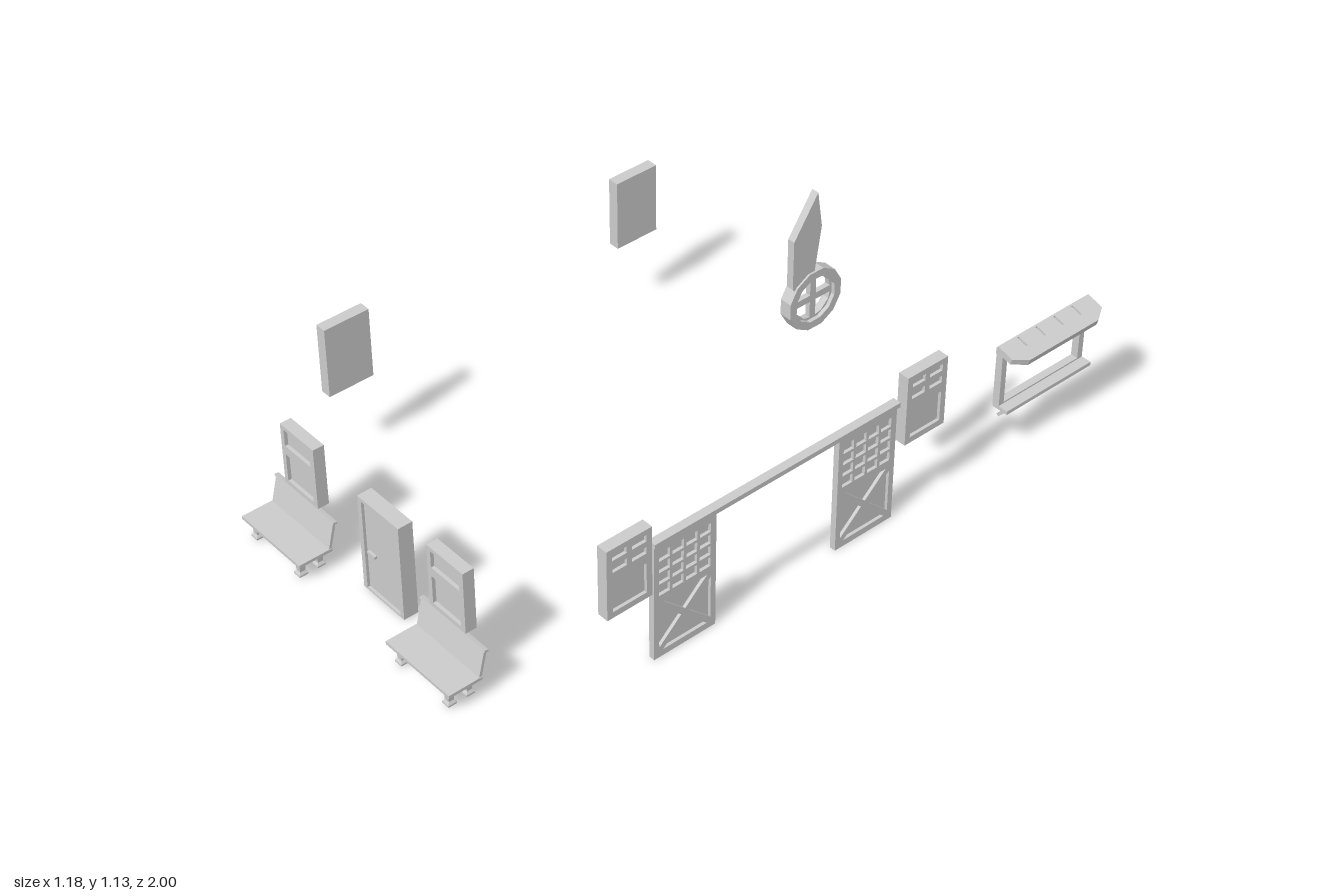
import * as THREE from 'three';

const mat = new THREE.MeshStandardMaterial({ color: 0xcccccc, flatShading: true });

function add(parent, name, geo, x = 0, y = 0, z = 0) {
  const m = new THREE.Mesh(geo, mat);
  m.name = name;
  m.position.set(x, y, z);
  parent.add(m);
  return m;
}
const box = (w, h, d) => new THREE.BoxGeometry(w, h, d);
const poly = pts => pts.map(p => new THREE.Vector2(p[0], p[1]));
const rect = (x0, y0, x1, y1) => poly([[x0, y0], [x1, y0], [x1, y1], [x0, y1]]);

// Flat plate with holes, extruded towards +z
function plate(outline, holes, depth) {
  const s = new THREE.Shape(outline);
  holes.forEach(h => s.holes.push(new THREE.Path(h)));
  return new THREE.ExtrudeGeometry(s, { depth, bevelEnabled: false, curveSegments: 6 });
}

// Slab with sunk panels: local x centred, y from 0, z from 0 to d (front)
function sunkPanel(name, w, h, d, sink, holes) {
  const g = new THREE.Group();
  g.name = name;
  add(g, 'backing', box(w, h, d - sink), 0, h / 2, (d - sink) / 2);
  add(g, 'frame', plate(rect(-w / 2, 0, w / 2, h), holes, sink), 0, 0, d - sink);
  return g;
}

function place(root, g, x, y, z, turn = 0) {
  g.position.set(x, y, z);
  g.rotation.y = turn;
  root.add(g);
}

function frontDoor() {
  const g = sunkPanel('frontDoor', 0.163, 0.293, 0.043, 0.008, [rect(-0.067, 0.006, 0.067, 0.282)]);
  add(g, 'handle', box(0.03, 0.008, 0.008), -0.042, 0.126, 0.039);
  return g;
}

const frontWindow = () => sunkPanel('frontWindow', 0.138, 0.187, 0.033, 0.01,
  [rect(-0.055, 0.012, 0.052, 0.097), rect(-0.055, 0.124, 0.052, 0.175)]);

function sideWindow() {
  const holes = [rect(-0.052, 0.018, 0.052, 0.11)];
  for (const y of [0.14, 0.177])
    for (const x of [-0.052, 0.008]) holes.push(rect(x, y, x + 0.044, y + 0.02));
  return sunkPanel('sideWindow', 0.138, 0.213, 0.033, 0.009, holes);
}

function barnDoor() {
  const holes = [];
  // Grid of panes
  for (let r = 0; r < 4; r++)
    for (let c = 0; c < 4; c++) {
      const x = -0.082 + c * 0.0425, y = 0.198 + r * 0.036;
      holes.push(rect(x, y, x + 0.0345, y + 0.028));
    }
  // Four triangles leave a crossed brace between them
  const a = 0.082, b = 0.078, k = 0.012, cy = 0.097;
  for (const s of [-1, 1]) {
    holes.push(poly([[s * a, cy - b + k], [s * a, cy + b - k], [s * k, cy]]));
    holes.push(poly([[-a + k, cy + s * b], [a - k, cy + s * b], [0, cy + s * k]]));
  }
  return sunkPanel('barnDoor', 0.196, 0.359, 0.018, 0.009, holes);
}

function bench() {
  const g = new THREE.Group();
  g.name = 'bench';
  add(g, 'seat', box(0.246, 0.009, 0.1), 0, 0.06, 0.05);
  const back = new THREE.Group();
  back.name = 'backrest';
  add(back, 'backBoard', box(0.242, 0.078, 0.008), 0, 0.04, 0);
  add(back, 'topRail', box(0.249, 0.006, 0.012), 0, 0.079, 0);
  back.position.set(0, 0.062, 0.005);
  back.rotation.x = -0.24;
  g.add(back);
  // Square legs, waisted above a wider foot
  const leg = new THREE.LatheGeometry(poly([[0, 0.006], [0.018, 0.006], [0.018, 0.011],
    [0.011, 0.018], [0.012, 0.032], [0.017, 0.046], [0.02, 0.056], [0, 0.056]]), 4);
  leg.rotateY(Math.PI / 4);
  for (const x of [-0.092, 0.092])
    for (const z of [0.023, 0.077]) add(g, 'leg', leg, x, 0, z);
  return g;
}

function stall() {
  const g = new THREE.Group();
  g.name = 'marketStall';
  add(g, 'openFrame', plate(rect(-0.157, 0.13, 0.157, 0.307),
    [rect(-0.139, 0.146, 0.139, 0.287)], 0.022));
  add(g, 'lintel', box(0.318, 0.02, 0.024), 0, 0.312, 0.012);
  add(g, 'shelf', box(0.316, 0.011, 0.045), 0, 0.136, 0.03);
  for (const x of [-0.14, 0.14]) {
    const b = add(g, 'shelfBracket', box(0.009, 0.009, 0.045), x, 0.114, 0.024);
    b.rotation.x = -0.83;
  }
  // Sloping awning with clipped front corners and slots between its strips
  const slots = [];
  for (let i = -1.5; i <= 1.5; i++) slots.push(rect(i * 0.067 - 0.003, 0.006, i * 0.067 + 0.003, 0.04));
  const awning = plate(poly([[-0.168, 0], [0.168, 0], [0.168, 0.052], [0.128, 0.078],
    [-0.128, 0.078], [-0.168, 0.052]]), slots, 0.019);
  awning.rotateX(Math.PI / 2);
  add(g, 'awning', awning, 0, 0.337, 0.013).rotation.x = 0.27;
  return g;
}

function wheelAndBlade() {
  const g = new THREE.Group();
  g.name = 'wheelWithBlade';
  const ngon = (r, n) => Array.from({ length: n }, (_, i) => {
    const t = (i + 0.5) / n * Math.PI * 2;
    return new THREE.Vector2(r * Math.cos(t), r * Math.sin(t));
  });
  add(g, 'rim', plate(ngon(0.083, 12), [ngon(0.062, 12)], 0.033));
  // Cross of spokes between four openings
  const quarters = [];
  for (const sx of [-1, 1])
    for (const sy of [-1, 1])
      quarters.push(poly([[0.009, 0.009], [0.054, 0.009], [0.05, 0.027], [0.027, 0.05], [0.009, 0.054]]
        .map(([x, y]) => [sx * x, sy * y])));
  add(g, 'spokes', plate(ngon(0.063, 12), quarters, 0.014), 0, 0, 0.009);
  // Pointed blade rising from the rim
  add(g, 'blade', plate(poly([[0.001, 0.299], [0.016, 0.2], [-0.003, 0.073], [-0.058, 0.045],
    [-0.07, 0.058], [-0.07, 0.192]]), [], 0.02), 0, 0, 0.008);
  return g;
}

export function createModel() {
  const root = new THREE.Group();
  root.name = 'townFittings';
  const q = Math.PI / 2;

  // Front row
  place(root, frontDoor(), -0.046, 0.005, 0.843);
  for (const x of [-0.348, 0.241]) place(root, frontWindow(), x, 0.165, 0.87);
  for (const x of [-0.358, 0.241]) place(root, bench(), x, 0, 0.9);

  // Side windows, facing outwards
  for (const z of [-0.372, 0.597]) place(root, sideWindow(), 0.512, 0.225, z, q);
  place(root, sideWindow(), -0.56, 0.225, -0.372, -q);
  place(root, sideWindow(), -0.553, 0.225, 0.595, -q);

  // Barn doors under their sliding rail
  for (const z of [0.418, -0.179]) place(root, barnDoor(), 0.519, 0, z, q);
  add(root, 'slidingRail', box(0.025, 0.014, 0.8), 0.53, 0.365, 0.117);

  place(root, stall(), 0.5, 0, -0.829, q);
  place(root, wheelAndBlade(), 0.5, 0.833, 0.014, q);
  return root;
}
